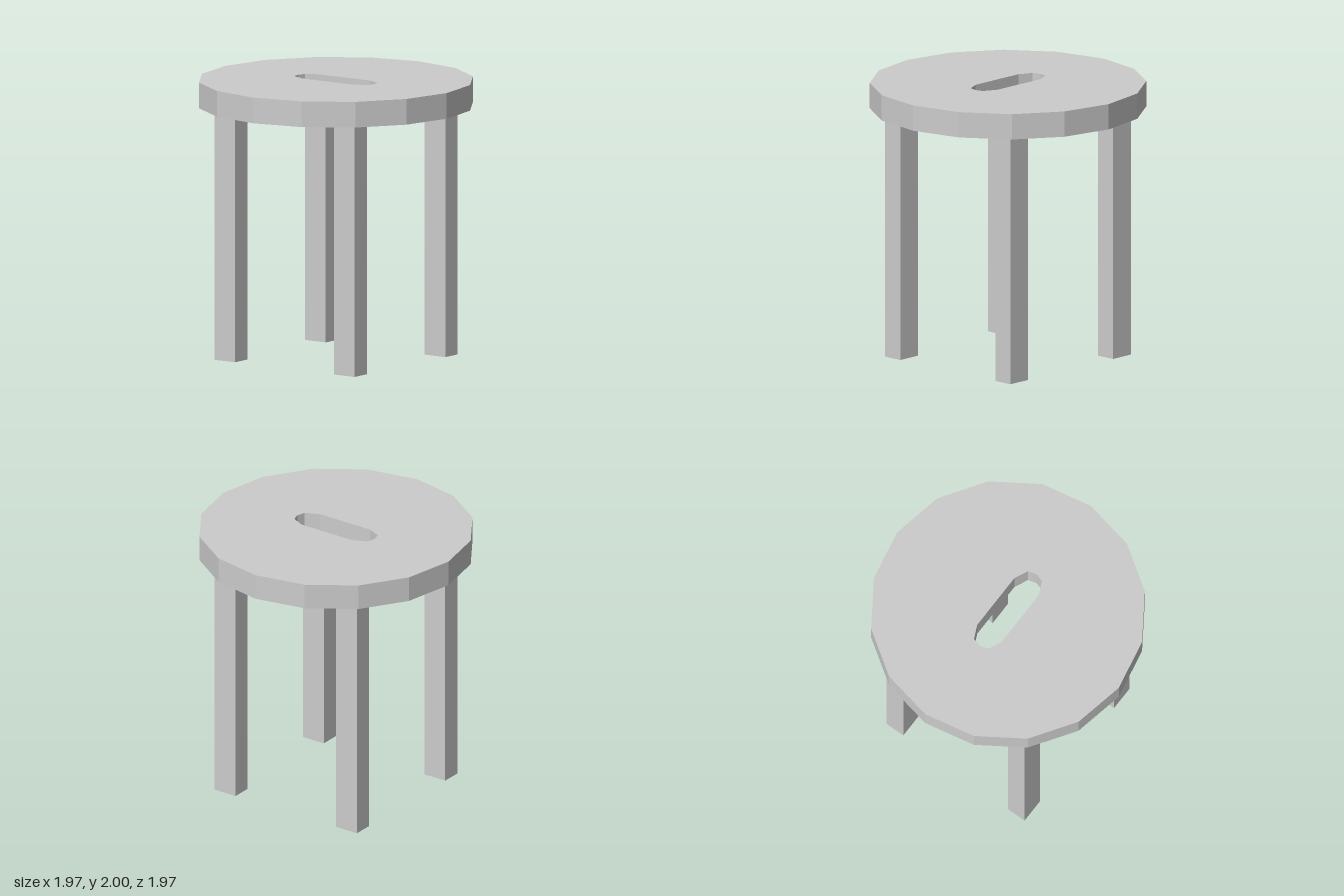
import * as THREE from 'three';

const HEIGHT = 2, SEAT_BOTTOM = 1.815, SEAT_RADIUS = 0.983, SEAT_SIDES = 16;

export function createModel() {
  const model = new THREE.Group();
  model.name = 'stool';
  const material = new THREE.MeshStandardMaterial({ color: 0xcccccc, flatShading: true });

  // Seat: sixteen-sided slab with a long hand hole
  const outline = [];
  for (let i = 0; i < SEAT_SIDES; i++) {
    const a = (i / SEAT_SIDES) * Math.PI * 2;
    outline.push(new THREE.Vector2(Math.cos(a) * SEAT_RADIUS, Math.sin(a) * SEAT_RADIUS));
  }
  const seatShape = new THREE.Shape(outline);

  // Hand hole: one rounded end, repeated by a half turn
  const holeEnd = [[0.108, 0.221], [0.062, 0.32], [0, 0.338], [-0.062, 0.32], [-0.108, 0.221]];
  const holePoints = [1, -1].flatMap((s) => holeEnd.map(([x, y]) => new THREE.Vector2(s * x, s * y)));
  seatShape.holes.push(new THREE.Path(holePoints));

  const seatGeometry = new THREE.ExtrudeGeometry(seatShape, {
    depth: HEIGHT - SEAT_BOTTOM, bevelEnabled: false, steps: 1,
  });
  seatGeometry.rotateX(-Math.PI / 2);
  const seat = new THREE.Mesh(seatGeometry, material);
  seat.name = 'seat';
  seat.position.y = SEAT_BOTTOM;
  model.add(seat);

  // Four straight legs, butted against the underside of the seat
  const legGeometry = new THREE.BoxGeometry(0.148, SEAT_BOTTOM, 0.183);
  for (const [front, z] of [['front', 1], ['back', -1]]) {
    for (const [side, x] of [['Left', 1], ['Right', -1]]) {
      const leg = new THREE.Mesh(legGeometry, material);
      leg.name = `${front}${side}Leg`;
      leg.position.set(x * 0.538, SEAT_BOTTOM / 2, z * 0.531);
      model.add(leg);
    }
  }

  return model;
}
